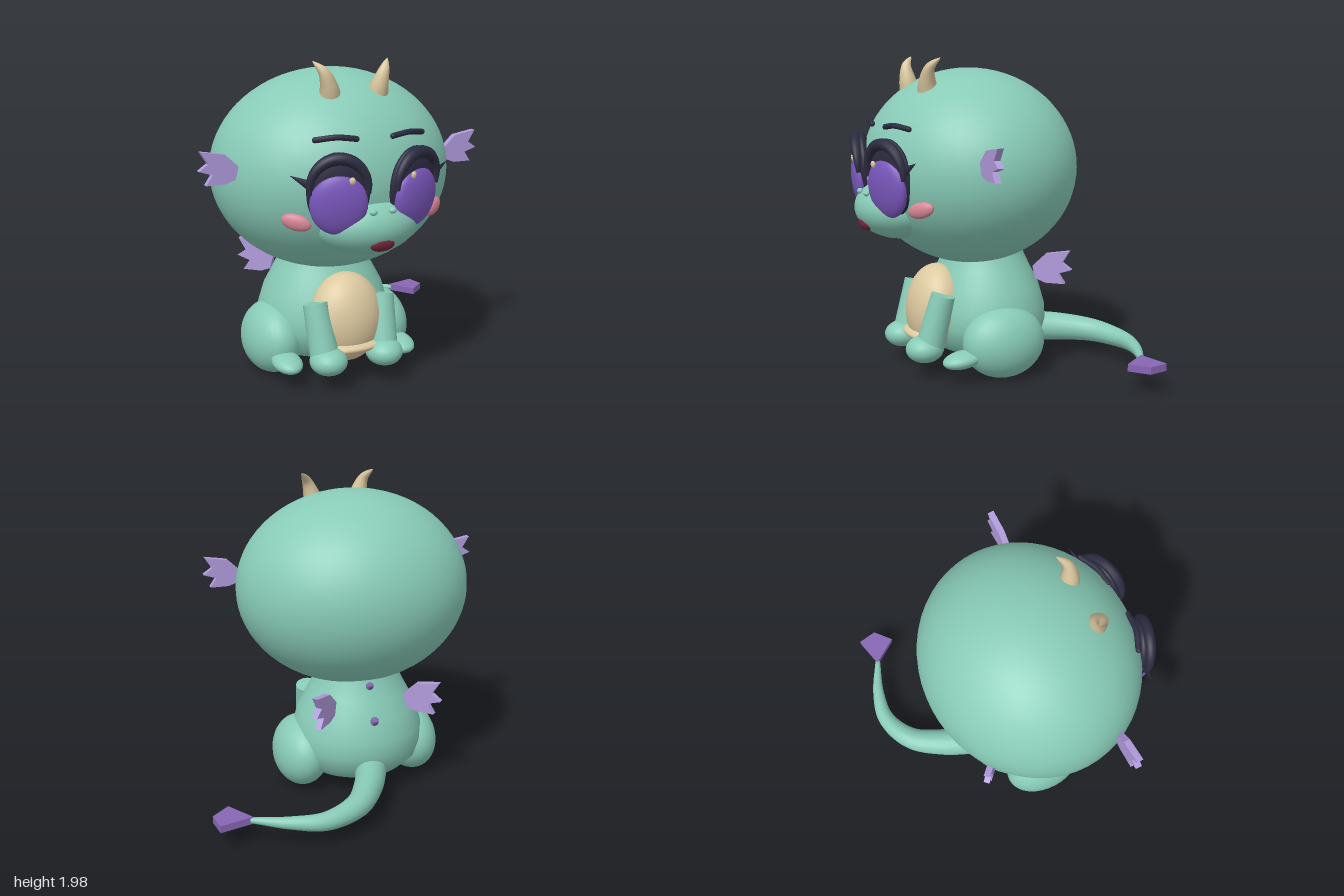
import * as THREE from 'three';

const CX = -0.085; // centre line of the body

const paint = (name, color) => {
  const m = new THREE.MeshStandardMaterial({ color });
  m.name = name;
  return m;
};
const teal = paint('teal skin', 0x88cbb7);
const cream = paint('cream', 0xdcc9a0);
const lilac = paint('lilac fin', 0xb09adb);
const violet = paint('violet spike', 0x8766b4);
const iris = paint('iris purple', 0x7a57bd);
const ink = paint('dark navy', 0x2b2b40);
const pink = paint('cheek pink', 0xd58595);
const maroon = paint('mouth maroon', 0x74273a);

const V = (x, y, z) => new THREE.Vector3(x, y, z);

function add(parent, name, geo, mat, pos = [0, 0, 0], rot = [0, 0, 0]) {
  const m = new THREE.Mesh(geo, mat);
  m.name = name;
  m.position.set(...pos);
  m.rotation.set(...rot);
  parent.add(m);
  return m;
}

const ball = (rx, ry, rz, w = 32, h = 20) => new THREE.SphereGeometry(1, w, h).scale(rx, ry, rz);

// Tube whose radius varies along its path
function taperTube(points, radiusAt, seg = 40, sides = 16) {
  const curve = new THREE.CatmullRomCurve3(points);
  const geo = new THREE.TubeGeometry(curve, seg, 1, sides, false);
  const p = geo.attributes.position;
  const v = new THREE.Vector3();
  for (let i = 0; i <= seg; i++) {
    const c = curve.getPointAt(i / seg);
    const r = radiusAt(i / seg);
    for (let j = 0; j <= sides; j++) {
      const k = i * (sides + 1) + j;
      v.fromBufferAttribute(p, k).sub(c).multiplyScalar(r).add(c);
      p.setXYZ(k, v.x, v.y, v.z);
    }
  }
  return geo;
}

// Flat plate of the given outline, centred on its thickness
function plate(points, depth) {
  const shape = new THREE.Shape(points.map(([x, y]) => new THREE.Vector2(x, y)));
  return new THREE.ExtrudeGeometry(shape, { depth, bevelEnabled: false }).translate(0, 0, -depth / 2);
}

// Three-pointed fin growing toward +x from its root
const FIN = [[0, 0], [0.02, -0.074], [0.08, -0.095], [0.195, -0.095], [0.155, -0.036],
  [0.235, -0.01], [0.18, 0.028], [0.225, 0.1], [0.08, 0.076]];

// Limb with flat ends running between two points
function limb(a, b, ra, rb) {
  const d = b.clone().sub(a);
  const geo = new THREE.CylinderGeometry(rb, ra, d.length(), 24);
  geo.applyQuaternion(new THREE.Quaternion().setFromUnitVectors(V(0, 1, 0), d.clone().normalize()));
  return geo.translate((a.x + b.x) / 2, (a.y + b.y) / 2, (a.z + b.z) / 2);
}

function buildEye(s) {
  const eye = new THREE.Group();
  eye.name = s > 0 ? 'leftEye' : 'rightEye';
  eye.position.set(s * 0.235, 1.28, 0.7);
  eye.rotation.set(0.1, s * 0.33, 0, 'YXZ');
  add(eye, 'eyeSurround', ball(0.18, 0.235, 0.06), ink);
  add(eye, 'iris', ball(0.165, 0.178, 0.06), iris, [0, -0.057, 0.035]);
  add(eye, 'eyeHighlight', ball(0.018, 0.022, 0.012, 12, 8), cream, [-s * 0.07, 0.088, 0.068]);
  // Heavy upper lid, thin at both ends
  const arc = [];
  for (let i = 0; i <= 12; i++) {
    const a = -0.15 + (Math.PI + 0.3) * i / 12;
    arc.push(V(Math.cos(a) * 0.166, 0.03 + Math.sin(a) * 0.178, 0.04));
  }
  add(eye, 'eyelid', taperTube(arc, t => 0.014 + 0.022 * Math.sin(Math.PI * t), 40, 10), ink);
  add(eye, 'eyelash', new THREE.ConeGeometry(0.03, 0.13, 8).scale(1, 1, 0.5), ink,
    [s * 0.215, 0.085, 0.025], [0, 0, -s * 1.08]);
  return eye;
}

export function createModel() {
  const model = new THREE.Group();
  model.name = 'babyDragon';
  const core = new THREE.Group();
  core.name = 'dragonBody';
  core.position.x = CX;
  model.add(core);

  // Head, muzzle and mouth
  add(core, 'head', ball(0.745, 0.614, 0.664, 56, 36), teal, [0, 1.3, 0.09]);
  add(core, 'muzzle', ball(0.325, 0.192, 0.27, 40, 24), teal, [0, 1.065, 0.565]);
  add(core, 'mouth', ball(0.077, 0.045, 0.03), maroon, [0, 0.975, 0.79], [0.5, 0, 0]);

  // Pear-shaped torso
  const profile = [[0, 0.1], [0.2, 0.1], [0.32, 0.125], [0.4, 0.2], [0.43, 0.3], [0.425, 0.4],
    [0.385, 0.53], [0.32, 0.65], [0.275, 0.74], [0.25, 0.82]];
  const torso = new THREE.LatheGeometry(profile.map(([x, y]) => new THREE.Vector2(x, y)), 48);
  add(core, 'torso', torso.scale(1, 1, 0.92), teal, [0, 0, -0.01]);
  add(core, 'belly', ball(0.235, 0.28, 0.18), cream, [0, 0.4, 0.33], [-0.1, 0, 0]);
  add(core, 'bellyFold', ball(0.21, 0.04, 0.1), cream, [0, 0.24, 0.425]);

  for (const s of [-1, 1]) {
    const side = s > 0 ? 'left' : 'right';
    core.add(buildEye(s));

    // Face details
    const brow = taperTube([V(-0.12, -0.008, -0.01), V(0, 0.006, 0.006), V(0.12, -0.008, -0.01)],
      () => 0.017, 12, 8);
    add(core, side + 'Eyebrow', brow, ink, [s * 0.228, 1.58, 0.665], [0, s * 0.27, 0]);
    for (const e of [-1, 1]) {
      add(core, side + 'EyebrowEnd', ball(0.017, 0.017, 0.017, 8, 6), ink,
        [s * 0.228 + e * 0.113, 1.572, 0.656 - e * s * 0.032]);
    }
    add(core, side + 'Nostril', ball(0.024, 0.018, 0.02, 16, 10), teal, [s * 0.061, 1.17, 0.795]);
    add(core, side + 'Cheek', ball(0.088, 0.048, 0.03), pink, [s * 0.445, 1.11, 0.595], [0, s * 0.6, s * 0.25]);

    // Horn curving out and back to a point
    const horn = taperTube([V(s * 0.15, 1.76, 0.42), V(s * 0.165, 1.84, 0.435),
      V(s * 0.195, 1.92, 0.43), V(s * 0.242, 1.98, 0.38)], t => 0.07 * (1 - t) ** 0.8 + 0.001, 20);
    add(core, side + 'Horn', horn, cream);

    // Ear fins and back wings
    add(core, side + 'EarFin', plate(FIN, 0.04), lilac, [s * 0.68, 1.4, 0.31], [0, s > 0 ? 0 : Math.PI, 0]);
    add(core, side + 'Wing', plate(FIN, 0.04).scale(1.08, 1.1, 1), lilac,
      [s * 0.235, 0.66, -0.255], [0, s > 0 ? Math.PI / 4 : Math.PI * 0.75, 0]);

    // Arms and legs
    add(core, side + 'Arm', limb(V(s * 0.228, 0.53, 0.37), V(s * 0.2, 0.2, 0.45), 0.075, 0.09), teal);
    add(core, side + 'Hand', ball(0.115, 0.085, 0.12), teal, [s * 0.19, 0.19, 0.48]);
    add(core, side + 'Thigh', ball(0.18, 0.226, 0.27), teal, [s * 0.375, 0.23, 0.025], [0, 0, s * 0.12]);
    add(core, side + 'Foot', ball(0.09, 0.052, 0.13), teal, [s * 0.39, 0.155, 0.31], [0.12, 0, 0]);
  }

  // Spikes down the back
  for (const [y, z] of [[0.74, -0.27], [0.54, -0.37]]) {
    add(core, 'backSpike', new THREE.ConeGeometry(0.045, 0.1, 16), violet, [0, y, z], [-1.2, 0, 0]);
  }

  // Tail sweeping round to the left, with a flat blade at its tip
  const tail = taperTube([V(-0.07, 0.19, -0.34), V(0.01, 0.185, -0.52), V(0.15, 0.17, -0.71),
    V(0.37, 0.155, -0.8), V(0.57, 0.16, -0.765), V(0.79, 0.163, -0.665)],
  t => (t === 0 ? 0 : 0.1 - 0.083 * t ** 1.25), 60, 20);
  add(model, 'tail', tail, teal);
  const blade = plate([[0.775, 0.67], [0.98, 0.715], [1, 0.59], [0.89, 0.5]], 0.045);
  add(model, 'tailBlade', blade, violet, [0, 0.163, 0], [-Math.PI / 2, 0, 0]);

  return model;
}
